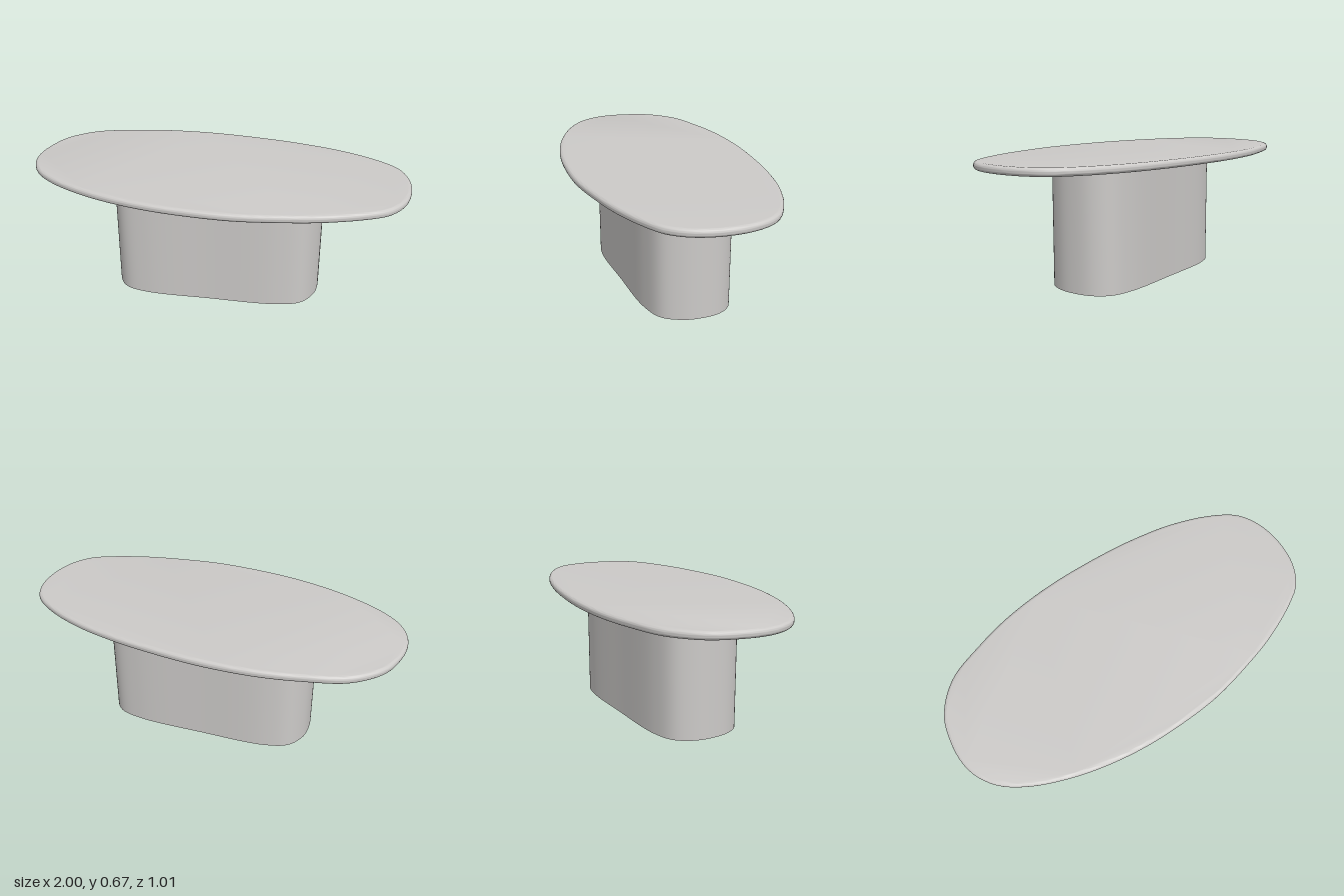
import * as THREE from 'three';
import { toCreasedNormals } from 'three/addons/utils/BufferGeometryUtils.js';

// Outlines seen from above as [x, z]
const TOP = [
  [-1, 0], [-0.985, -0.13], [-0.935, -0.26], [-0.8, -0.385], [-0.6, -0.45], [-0.4, -0.49],
  [-0.18, -0.505], [0, -0.5], [0.25, -0.475], [0.4, -0.45], [0.6, -0.4], [0.8, -0.315],
  [0.93, -0.22], [0.985, -0.11], [1, 0.03], [0.97, 0.18], [0.9, 0.285], [0.8, 0.345],
  [0.6, 0.42], [0.4, 0.465], [0.2, 0.495], [0.06, 0.5], [-0.2, 0.485], [-0.4, 0.45],
  [-0.6, 0.39], [-0.8, 0.295], [-0.92, 0.2], [-0.98, 0.1],
];
const BASE = [
  [0.565, -0.02], [0.55, -0.13], [0.49, -0.205], [0.36, -0.237], [0, -0.23], [-0.36, -0.207],
  [-0.48, -0.16], [-0.535, -0.07], [-0.545, 0.02], [-0.525, 0.13], [-0.465, 0.208],
  [-0.34, 0.239], [0, 0.23], [0.36, 0.21], [0.49, 0.165], [0.55, 0.07],
];

// Closed smooth outline through the given points
function outline(points) {
  const curve = new THREE.CatmullRomCurve3(
    points.map(([x, z]) => new THREE.Vector3(x, z, 0)), true, 'centripetal');
  const samples = curve.getSpacedPoints(144).slice(0, -1);
  return new THREE.Shape(samples.map((p) => new THREE.Vector2(p.x, p.y)));
}

// Vertical slab between two heights, with an optional rounded rim
function slab(name, points, bottom, top, round, material) {
  const geometry = new THREE.ExtrudeGeometry(outline(points), {
    depth: top - bottom - 2 * round,
    bevelEnabled: round > 0,
    bevelThickness: round,
    bevelSize: round,
    bevelOffset: -round,
    bevelSegments: 7,
  });
  geometry.rotateX(Math.PI / 2);
  geometry.translate(0, top - round, 0);
  const mesh = new THREE.Mesh(toCreasedNormals(geometry, 0.6), material);
  mesh.name = name;
  return mesh;
}

export function createModel() {
  const stone = new THREE.MeshStandardMaterial({ color: 0xcccac8 });
  stone.name = 'pale warm grey';

  const table = new THREE.Group();
  table.name = 'table';
  table.add(
    slab('tableTop', TOP, 0.627, 0.667, 0.018, stone),
    slab('pedestal', BASE, 0, 0.628, 0, stone),
  );
  return table;
}
